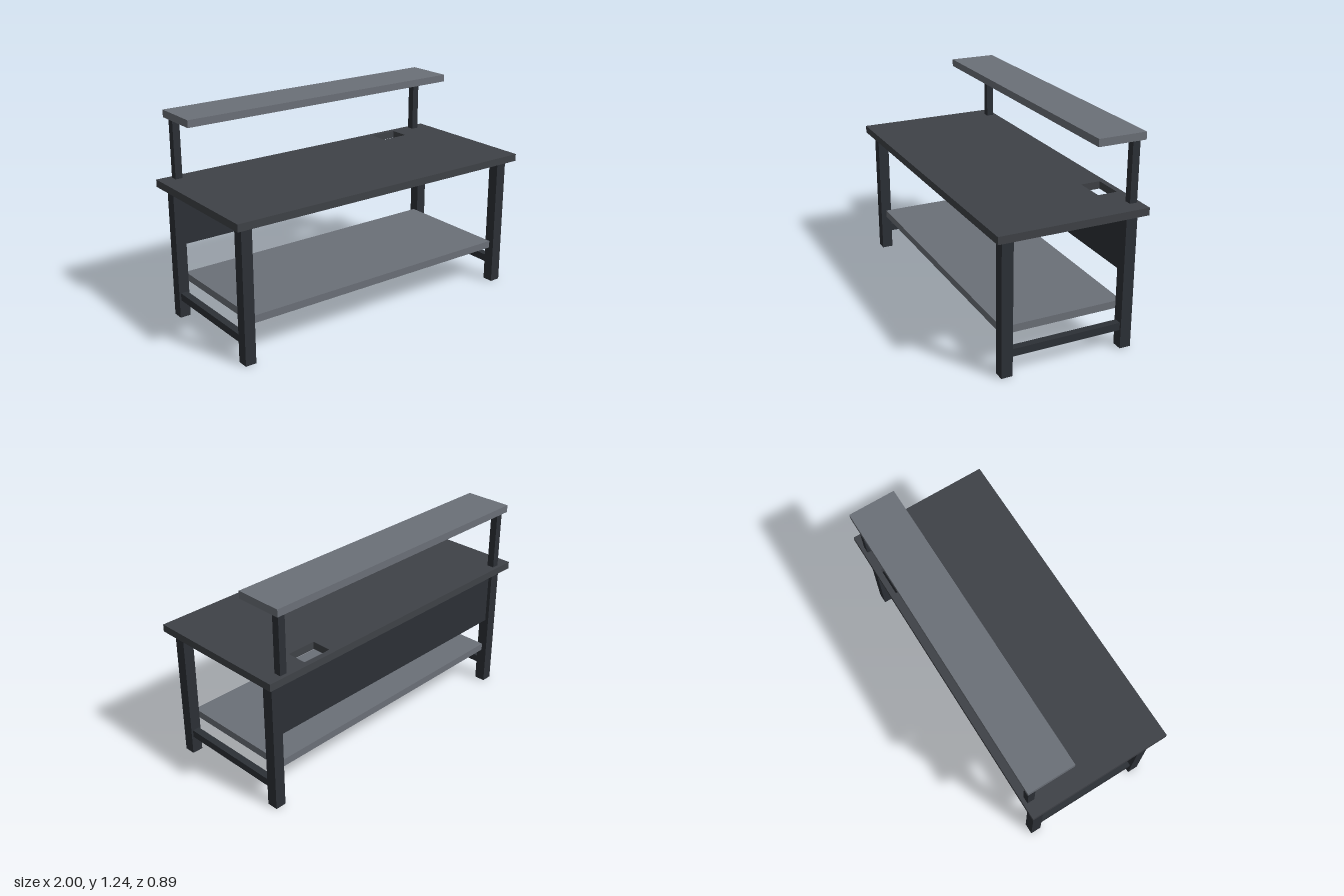
import * as THREE from 'three';

const frameMat = new THREE.MeshStandardMaterial({ color: 0x2c3036 });
const topMat = new THREE.MeshStandardMaterial({ color: 0x3f4247 });
const shelfMat = new THREE.MeshStandardMaterial({ color: 0x6b7078 });

// Box given by its extents along each axis
function box(name, mat, [x0, x1], [y0, y1], [z0, z1]) {
  const mesh = new THREE.Mesh(new THREE.BoxGeometry(x1 - x0, y1 - y0, z1 - z0), mat);
  mesh.position.set((x0 + x1) / 2, (y0 + y1) / 2, (z0 + z1) / 2);
  mesh.name = name;
  return mesh;
}

// Rectangle outline; shape y becomes -z once laid flat
function rect(path, x0, x1, z0, z1) {
  path.moveTo(x0, -z1);
  path.lineTo(x1, -z1);
  path.lineTo(x1, -z0);
  path.lineTo(x0, -z0);
  path.closePath();
  return path;
}

export function createModel() {
  const bench = new THREE.Group();
  bench.name = 'workbench';

  // Worktop with a cable cut-out near the rear left corner
  const outline = rect(new THREE.Shape(), -1, 1, -0.444, 0.444);
  outline.holes.push(rect(new THREE.Path(), 0.55, 0.73, -0.41, -0.29));
  const topGeo = new THREE.ExtrudeGeometry(outline, { depth: 0.044, bevelEnabled: false });
  topGeo.rotateX(-Math.PI / 2);
  const worktop = new THREE.Mesh(topGeo, topMat);
  worktop.position.y = 0.8;
  worktop.name = 'worktop';
  bench.add(worktop);

  // Legs, side rails and riser posts, mirrored left and right
  for (const side of [1, -1]) {
    const label = side > 0 ? 'left' : 'right';
    const span = (a, b) => (side > 0 ? [a, b] : [-b, -a]);
    const legX = span(0.889, 0.955);
    bench.add(
      box(label + 'FrontLeg', frameMat, legX, [0, 0.8], [0.333, 0.4]),
      box(label + 'BackLeg', frameMat, legX, [0, 0.8], [-0.4, -0.333]),
      box(label + 'SideRail', frameMat, span(0.9, 0.944), [0.111, 0.156], [-0.333, 0.333]),
      box(label + 'RiserPost', frameMat, span(0.867, 0.911), [0.844, 1.2], [-0.422, -0.378])
    );
  }

  // Rear modesty panel between the back legs
  bench.add(box('backPanel', frameMat, [-0.889, 0.889], [0.447, 0.78], [-0.378, -0.356]));

  // Lower and upper shelves
  bench.add(
    box('lowerShelf', shelfMat, [-0.889, 0.889], [0.222, 0.267], [-0.367, 0.367]),
    box('upperShelf', shelfMat, [-0.933, 0.933], [1.2, 1.244], [-0.444, -0.156])
  );

  return bench;
}
